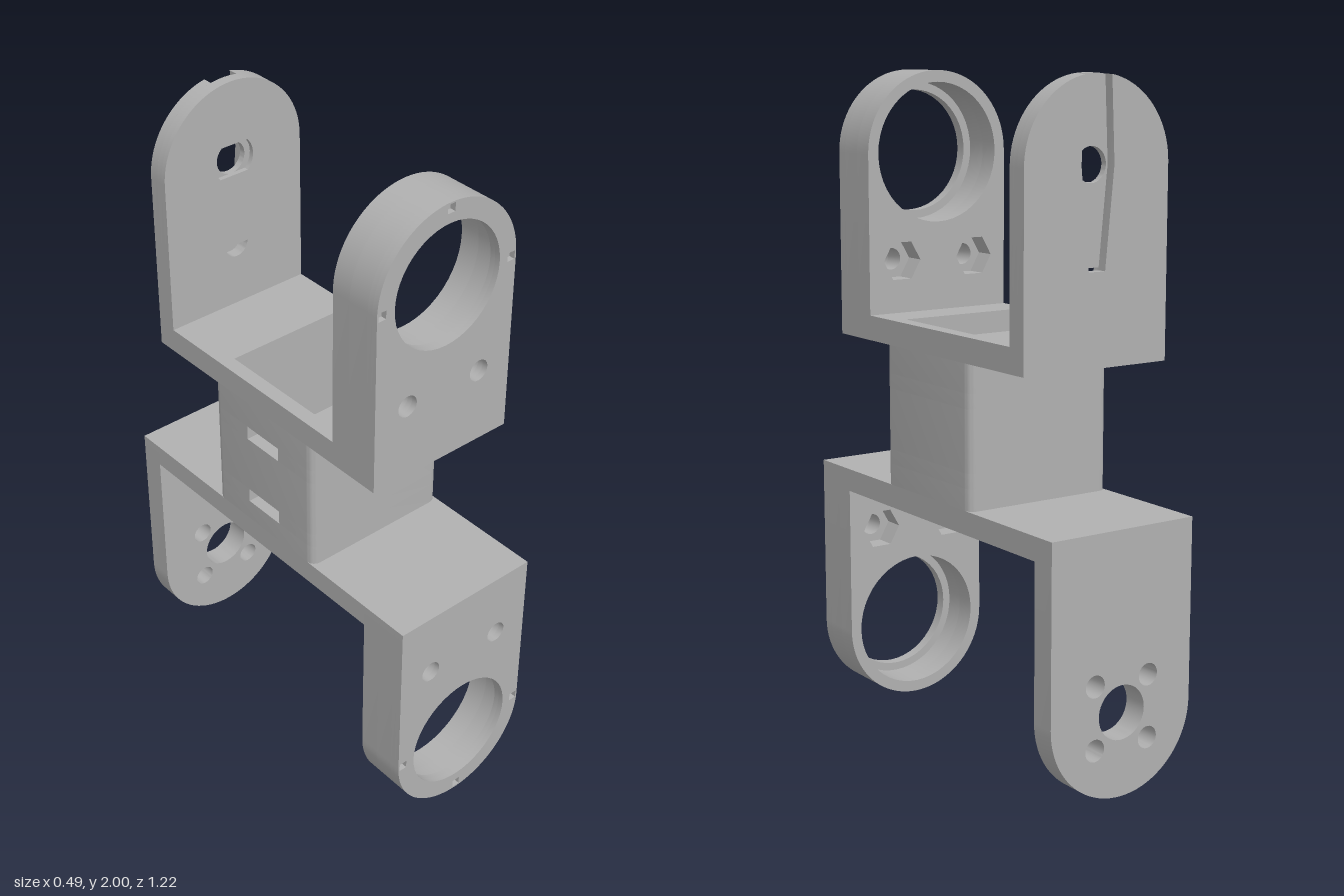
import * as THREE from 'three';
import { toCreasedNormals } from 'three/addons/utils/BufferGeometryUtils.js';

const W = 0.245; // half width, also the radius of the rounded ends

// Points along a circular arc
function arc(cx, cy, r, a0 = 0, a1 = Math.PI * 2, n = 48) {
  const pts = [];
  const closed = Math.abs(a1 - a0) > 6.28;
  for (let i = 0; i < (closed ? n : n + 1); i++) {
    const a = a0 + ((a1 - a0) * i) / n;
    pts.push(new THREE.Vector2(cx + r * Math.cos(a), cy + r * Math.sin(a)));
  }
  return pts;
}
const poly = (...xy) => xy.map(([x, y]) => new THREE.Vector2(x, y));
const rect = (cx, cy, hx, hy) =>
  poly([cx - hx, cy - hy], [cx + hx, cy - hy], [cx + hx, cy + hy], [cx - hx, cy + hy]);

// Extrude an outline with holes from depth a to depth b
function slab(outline, holes, a, b) {
  const shape = new THREE.Shape(outline);
  shape.holes = holes.map((h) => new THREE.Path(h));
  const geo = new THREE.ExtrudeGeometry(shape, { depth: b - a, bevelEnabled: false });
  geo.translate(0, 0, a);
  return toCreasedNormals(geo, 0.5);
}

// Arm outline: square at the base, round about y = c
function armOutline(base, c) {
  const s = Math.sign(c - base);
  return [...poly([-W, base], [W, base]), ...arc(0, c, W, 0, s * Math.PI, 40)];
}

export function createModel() {
  const model = new THREE.Group();
  const grey = new THREE.MeshStandardMaterial({ color: 0xb0b0b0 });
  grey.name = 'grey plastic';

  function add(parent, name, geo) {
    const mesh = new THREE.Mesh(geo, grey);
    mesh.name = name;
    parent.add(mesh);
    return mesh;
  }
  function group(name) {
    const g = new THREE.Group();
    g.name = name;
    model.add(g);
    return g;
  }

  // Thick front arm: bearing seat with a front lip, bolt holes and nut pockets
  function bearingArm(name, base, c, zBack, zFront) {
    const g = group(name);
    const s = Math.sign(c - base);
    const out = armOutline(base, c);
    const boltY = c - s * 0.322;
    const bolts = [-0.13, 0.13].map((x) => arc(x, boltY, 0.033, 0, Math.PI * 2, 24));
    const nuts = [-0.13, 0.13].map((x) => arc(x, boltY, 0.065, 0, Math.PI * 2, 6));
    const marks = [[-0.227, c], [0.227, c], [0, c + s * 0.227]].map(([x, y]) => rect(x, y, 0.013, 0.013));
    const lip = arc(0, c, 0.185), bore = arc(0, c, 0.21);
    add(g, 'markedFace', slab(out, [lip, ...bolts, ...marks], zFront - 0.018, zFront));
    add(g, 'bearingLip', slab(out, [lip, ...bolts], zFront - 0.035, zFront - 0.018));
    add(g, 'bearingSeat', slab(out, [bore, ...bolts], zBack + 0.065, zFront - 0.035));
    add(g, 'nutPockets', slab(out, [bore, ...nuts], zBack, zBack + 0.065));
  }
  bearingArm('upperFrontArm', 1.2, 1.755, 0.31, 0.48);
  bearingArm('lowerFrontArm', 0.775, 0.245, 0.45, 0.612);

  // Lower back arm: shaft hole with four screw holes
  const screws = [];
  for (const x of [-0.093, 0.093])
    for (const y of [-0.093, 0.093]) screws.push(arc(x, 0.248 + y, 0.033, 0, Math.PI * 2, 24));
  add(model, 'lowerBackArm',
    slab(armOutline(0.775, 0.245), [arc(0, 0.248, 0.08), ...screws], -0.612, -0.535));

  // Upper back arm: inner plate with pilot hole, outer plate with a tapered groove
  const back = group('upperBackArm');
  const c = 1.755;
  const plate = armOutline(1.2, c);
  const notch = arc(0, c, 0.07, -0.78, 0.78, 10).concat(arc(0, c, 0.07, Math.PI - 0.78, Math.PI + 0.78, 10));
  const halfMoon = arc(0, 1.475, 0.04, Math.PI, Math.PI * 2 - 0.0001, 16);
  add(back, 'recessedFace', slab(plate, [notch, halfMoon], -0.43, -0.415));
  add(back, 'pilotPlate', slab(plate, [arc(0, c, 0.05), halfMoon], -0.45, -0.43));
  const a = Math.acos(0.045 / W);
  const grooved = [
    ...poly([-W, 1.2], [W, 1.2]),
    ...arc(0, c, W, 0, a, 20),
    ...poly([0.056, c], [0.028, 1.467], [-0.028, 1.467], [-0.056, c]),
    ...arc(0, c, W, Math.PI - a, Math.PI, 20),
  ];
  add(back, 'groovedPlate', slab(grooved, [], -0.48, -0.45));

  // Horizontal slabs are drawn in plan (shape y = -z) and turned upright
  const window = rect(0, 0, 0.2, 0.18);
  function flat(parent, name, outline, holes, y0, y1) {
    add(parent, name, slab(outline, holes, y0, y1).rotateX(-Math.PI / 2));
  }
  const bridge = (z0, z1) => poly([-W, -z1], [W, -z1], [W, -z0], [-W, -z0]);
  flat(model, 'upperBridge', bridge(-0.415, 0.31), [window], 1.2, 1.275);
  flat(model, 'lowerBridge', bridge(-0.535, 0.45), [window], 0.705, 0.775);

  // Hollow neck with rounded corners and two cable slots in one side wall
  const neck = group('neck');
  const R = 0.028, nx = W - R, nz = 0.223 - R, q = Math.PI / 2;
  const ring = [
    ...arc(-nx, -nz, R, 2 * q, 3 * q, 8),
    ...arc(nx, -nz, R, 3 * q, 4 * q, 8),
    ...arc(nx, nz, R, 0, q, 8),
    ...arc(-nx, nz, R, q, 2 * q, 8),
  ];
  const slotted = [
    ...poly([-W, -0.07]), ...ring,
    ...poly([-W, 0.07], [-0.2, 0.07], [-0.2, 0.18], [0.2, 0.18], [0.2, -0.18], [-0.2, -0.18], [-0.2, -0.07]),
  ];
  const levels = [0.775, 0.84, 0.885, 1.07, 1.115, 1.2];
  for (let i = 0; i < 5; i++) {
    if (i % 2) flat(neck, 'slottedWall', slotted, [], levels[i], levels[i + 1]);
    else flat(neck, 'neckWall', ring, [window], levels[i], levels[i + 1]);
  }
  return model;
}
